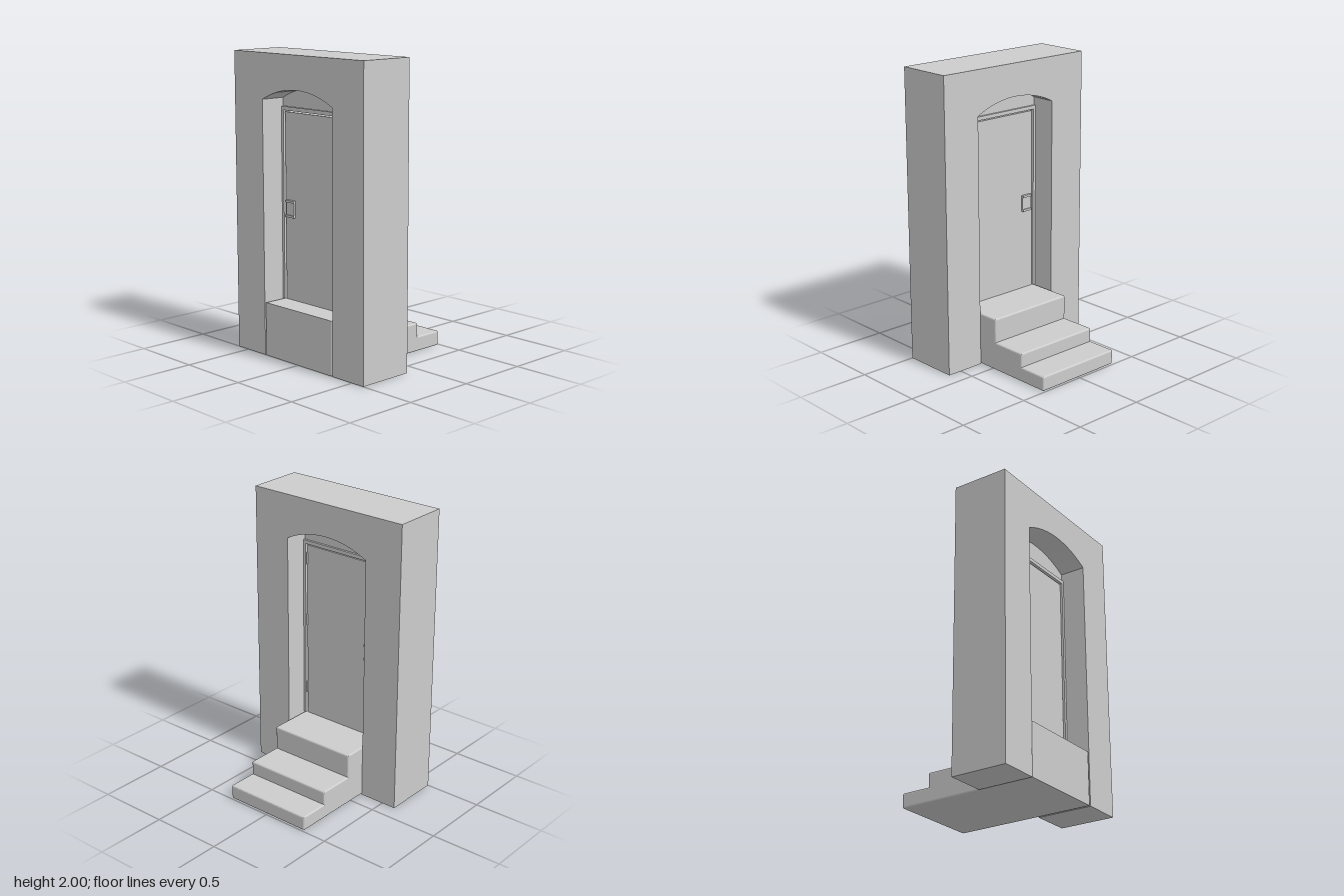
import * as THREE from 'three';

const grey = new THREE.MeshStandardMaterial({ color: 0xcccccc });
const HALF = 0.325;                    // half width of the doorway
const SPRING = 1.70, CROWN = 1.78;     // arch heights
const SILL = 0.36;                     // top step and threshold height
const MID = -0.305;                    // centre plane of the wall and door

function add(parent, name, geometry, x = 0, y = 0, z = 0) {
  const mesh = new THREE.Mesh(geometry, grey);
  mesh.name = name;
  mesh.position.set(x, y, z);
  parent.add(mesh);
  return mesh;
}

// Extrudes a shape drawn in (z, y) so that it runs from xFront back to xBack
function slab(parent, name, shape, xFront, xBack) {
  const geometry = new THREE.ExtrudeGeometry(shape, {
    depth: xFront - xBack, bevelEnabled: false, curveSegments: 16,
  });
  add(parent, name, geometry, xFront).rotation.y = -Math.PI / 2;
}

// Traces the segmental arch between the two springing points
function archOver(shape) {
  const rise = CROWN - SPRING;
  const radius = (HALF * HALF + rise * rise) / (2 * rise);
  const a = Math.asin(HALF / radius);
  shape.absarc(0, CROWN - radius, radius, Math.PI / 2 - a, Math.PI / 2 + a, false);
}

// Outline with the convex step edges rounded off
function stairShape() {
  const r = 0.012, s = new THREE.Shape();
  s.moveTo(-0.5, 0);
  s.lineTo(0.49 - r, 0);
  s.quadraticCurveTo(0.49, 0, 0.49, r);
  const steps = [[0.49, 0.10], [0.285, 0.195], [0.035, SILL]];
  steps.forEach(([x, y], i) => {
    s.lineTo(x, y - r);
    s.quadraticCurveTo(x, y, x - r, y);
    s.lineTo(i < 2 ? steps[i + 1][0] : -0.5, y);
  });
  s.closePath();
  return s;
}

export function createModel() {
  const model = new THREE.Group();
  model.name = 'doorwayWithSteps';

  // Wall with an arched doorway open to the ground
  const wall = new THREE.Shape();
  wall.moveTo(-0.6, 0);
  wall.lineTo(-HALF, 0);
  wall.lineTo(-HALF, SPRING);
  const arch = new THREE.Shape();
  archOver(arch);
  arch.getPoints(16).reverse().forEach((p) => wall.lineTo(p.x, p.y));
  wall.lineTo(HALF, 0);
  wall.lineTo(0.6, 0);
  wall.lineTo(0.6, 2);
  wall.lineTo(-0.6, 2);
  wall.closePath();
  slab(model, 'wall', wall, -0.11, -0.5);

  // Steps running through the wall as the threshold
  const b = 0.01;
  const stairs = new THREE.ExtrudeGeometry(stairShape(), {
    depth: 0.64 - 2 * b, bevelSize: b, bevelThickness: b, bevelOffset: -b,
    bevelSegments: 3, curveSegments: 4,
  });
  add(model, 'steps', stairs, 0, 0, -0.32 + b);

  // Panel filling the arch above the frame
  const transom = new THREE.Shape();
  transom.moveTo(-HALF, 1.64);
  transom.lineTo(HALF, 1.64);
  archOver(transom);
  transom.closePath();
  slab(model, 'archPanel', transom, MID + 0.02, MID - 0.02);

  // Door frame: two jambs and a head in one outline
  const frame = new THREE.Shape();
  const inner = 0.306;
  [[-HALF, SILL], [-inner, SILL], [-inner, 1.62], [inner, 1.62],
    [inner, SILL], [HALF, SILL], [HALF, 1.645], [-HALF, 1.645]]
    .forEach(([z, y], i) => (i ? frame.lineTo(z, y) : frame.moveTo(z, y)));
  frame.closePath();
  slab(model, 'doorFrame', frame, MID + 0.035, MID - 0.035);

  // Door leaf, with a narrow gap to the frame
  const door = new THREE.Group();
  door.name = 'door';
  model.add(door);
  add(door, 'doorLeaf', new THREE.BoxGeometry(0.05, 1.25, 0.596), MID, SILL + 0.625, 0);

  // Hinges
  for (const y of [0.56, 1.07, 1.515]) {
    add(door, 'hinge', new THREE.CylinderGeometry(0.007, 0.007, 0.08, 12), MID + 0.024, y, 0.302);
  }

  // Handles on both faces: backing plate with two cross bars
  for (const side of [1, -1]) {
    const handle = new THREE.Group();
    handle.name = 'handle';
    handle.position.set(MID + side * 0.025, 0, -0.243);
    door.add(handle);
    add(handle, 'handlePlate', new THREE.BoxGeometry(0.012, 0.1, 0.076), side * 0.006, 0.975, 0);
    for (const y of [1.024, 0.926]) {
      add(handle, 'handleBar', new THREE.BoxGeometry(0.02, 0.015, 0.078), side * 0.01, y, 0);
    }
  }
  return model;
}
